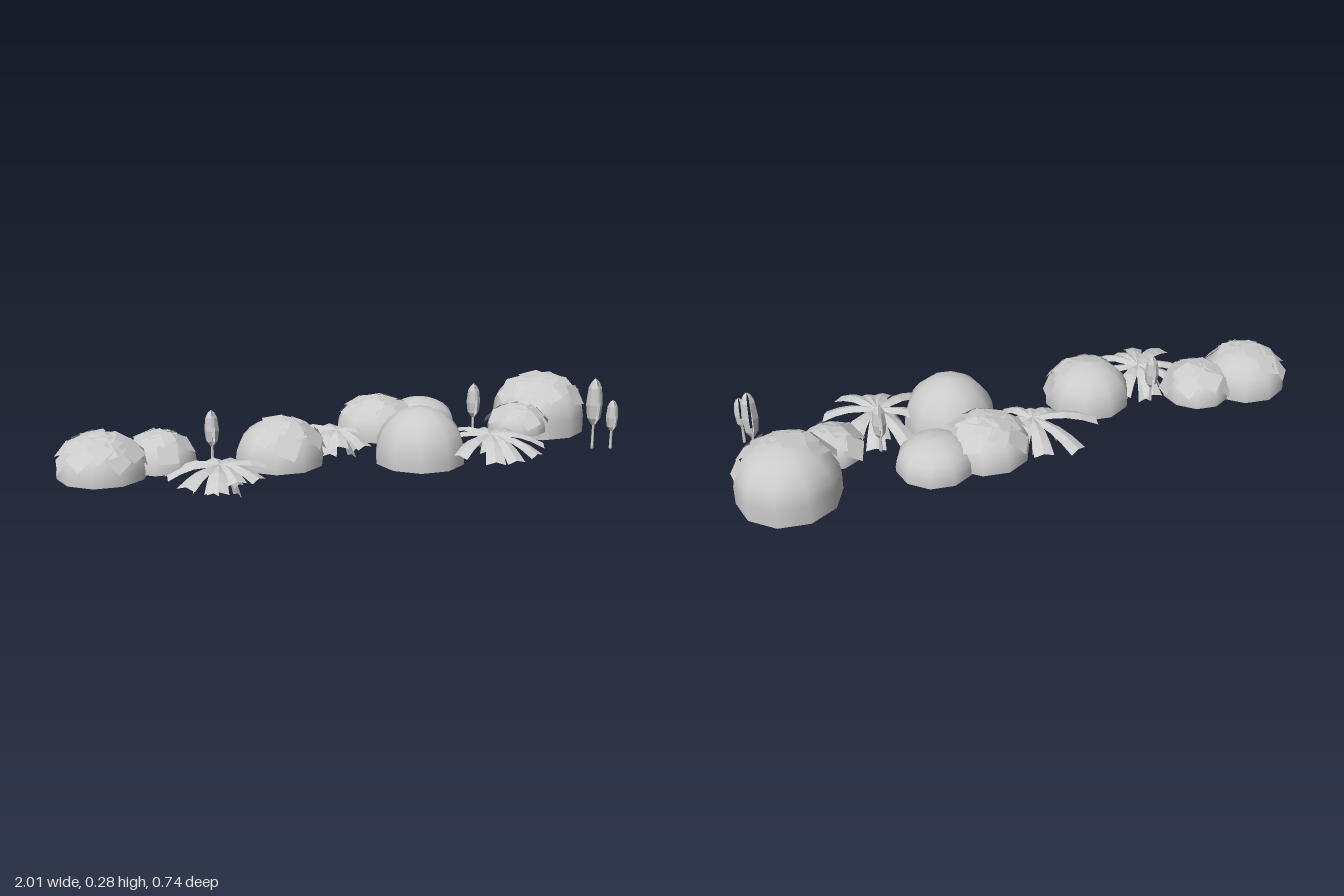
import * as THREE from 'three';

const flat = new THREE.MeshStandardMaterial({ color: 0xcccccc, flatShading: true, side: THREE.DoubleSide });
const smooth = new THREE.MeshStandardMaterial({ color: 0xcccccc, side: THREE.DoubleSide });

let seed = 7;
const rand = (a, b) => {
  seed = (seed * 16807) % 2147483647;
  return a + (b - a) * (seed / 2147483647);
};

function part(parent, name, geometry, material) {
  const mesh = new THREE.Mesh(geometry, material);
  mesh.name = name;
  parent.add(mesh);
  return mesh;
}

// Ten-sided open dome: short upright wall, then a quarter ellipse,
// with square leaves spread over the given arc (degrees, +x toward +z)
function bush({ x, z, r, base, wall, top, leaves = 0, arc = [0, 360], low = 20 }) {
  const g = new THREE.Group();
  g.name = 'bush';
  g.position.set(x, 0, z);
  const h = top - base - wall;
  const profile = [new THREE.Vector2(r, base)];
  for (let i = 0; i <= 6; i++) {
    const a = (i / 6) * Math.PI / 2;
    profile.push(new THREE.Vector2(Math.max(r * Math.cos(a), 0), base + wall + h * Math.sin(a)));
  }
  part(g, 'dome', new THREE.LatheGeometry(profile, 10, Math.PI / 2), smooth);
  for (let i = 0; i < leaves; i++) {
    const az = THREE.MathUtils.degToRad(arc[0] + (arc[1] - arc[0]) * ((i * 0.618) % 1));
    const el = THREE.MathUtils.degToRad(low + (82 - low) * (i + 0.5) / leaves);
    const dir = new THREE.Vector3(Math.cos(el) * Math.cos(az), Math.sin(el), Math.cos(el) * Math.sin(az));
    const normal = new THREE.Vector3(dir.x / r, dir.y / h, dir.z / r).normalize();
    const s = rand(0.06, 0.08);
    const leaf = part(g, 'bushLeaf', new THREE.PlaneGeometry(s, s), flat);
    leaf.position.set(dir.x * r, base + wall + dir.y * h, dir.z * r).addScaledVector(normal, 0.002);
    leaf.quaternion.setFromUnitVectors(new THREE.Vector3(0, 0, 1), normal);
    leaf.rotateZ(rand(0, 3));
    leaf.rotateX(rand(-0.12, 0.12));
  }
  return g;
}

// Arching strip that widens outward and droops at the tip
function blade(length, width, drop, rise) {
  const geo = new THREE.PlaneGeometry(1, 1, 4, 2);
  const p = geo.attributes.position;
  for (let i = 0; i < p.count; i++) {
    const t = p.getX(i) + 0.5, v = p.getY(i);
    p.setXYZ(i, t * length, rise * Math.sin(Math.PI * t) - drop * t * t - Math.abs(v) * 0.02,
      -v * width * (0.45 + 0.55 * t));
  }
  geo.computeVertexNormals();
  return geo;
}

function fern(x, y, z, bottom, tips) {
  const g = new THREE.Group();
  g.name = 'fern';
  g.position.set(x, y, z);
  tips.forEach(([deg, length]) => {
    const b = part(g, 'fernBlade', blade(length, 0.07, rand(0.02, 0.05), 0.012), flat);
    b.rotation.y = -THREE.MathUtils.degToRad(deg);
  });
  // Short drooping inner blades
  for (let i = 0; i < 5; i++) {
    const b = part(g, 'innerBlade', blade(rand(0.05, 0.09), 0.05, (y - bottom - 0.01) * (1 - 0.13 * i), 0.01), flat);
    b.rotation.y = i * 1.2566 + 0.4;
  }
  return g;
}

// Slim tree: two facing curved shells around a thin trunk
function tree(x, z, ground, low, top, r) {
  const g = new THREE.Group();
  g.name = 'slimTree';
  g.position.set(x, 0, z);
  const profile = [[0.25, 0], [0.8, 0.15], [1, 0.45], [0.8, 0.8], [0.45, 0.93], [0.05, 1]]
    .map(([a, t]) => new THREE.Vector2(a * r, low + (top - low) * t));
  for (const start of [0.3, 3.44]) {
    part(g, 'crownShell', new THREE.LatheGeometry(profile, 3, start, 2.7), flat);
  }
  const trunkH = low + 0.03 - ground;
  const trunk = part(g, 'trunk', new THREE.CylinderGeometry(0.004, 0.006, trunkH, 5), flat);
  trunk.position.y = ground + trunkH / 2;
  return g;
}

export function createModel() {
  const model = new THREE.Group();
  model.name = 'plantBorder';

  // Domed bushes from the right end to the left end
  [
    { x: -0.85, z: 0.042, r: 0.15, base: 0.08, wall: 0.02, top: 0.222, leaves: 18, arc: [20, 250] },
    { x: -0.655, z: 0.01, r: 0.12, base: 0.085, wall: 0.01, top: 0.198, leaves: 13 },
    { x: -0.262, z: 0.07, r: 0.152, base: 0.08, wall: 0.02, top: 0.23, leaves: 9, arc: [0, 150] },
    { x: 0.16, z: -0.175, r: 0.146, base: 0.08, wall: 0.02, top: 0.212, leaves: 15, low: 30 },
    { x: 0.343, z: -0.21, r: 0.133, base: 0.075, wall: 0.02, top: 0.19 },
    { x: 0.24, z: 0.078, r: 0.16, base: 0.042, wall: 0.03, top: 0.235 },
    { x: 0.67, z: -0.058, r: 0.108, base: 0.08, wall: 0.01, top: 0.172, leaves: 11 },
    { x: 0.826, z: -0.205, r: 0.174, base: 0.034, wall: 0.065, top: 0.248, leaves: 17, arc: [0, 200], low: 25 },
  ].forEach((b) => model.add(bush(b)));

  // Ferns: [direction in degrees, length] for each blade
  model.add(fern(-0.49, 0.125, 0.18, 0,
    [[0, 0.2], [50, 0.16], [78, 0.14], [103, 0.185], [135, 0.19], [185, 0.17], [220, 0.19], [265, 0.15], [310, 0.15]]));
  model.add(fern(-0.02, 0.13, -0.08, 0.015,
    [[0, 0.15], [60, 0.14], [100, 0.1], [140, 0.13], [180, 0.23], [236, 0.21], [270, 0.17], [305, 0.13]]));
  model.add(fern(0.49, 0.125, 0.11, 0.035,
    [[18, 0.19], [58, 0.2], [82, 0.18], [106, 0.18], [145, 0.2], [200, 0.18], [246, 0.2], [280, 0.18], [320, 0.19]]));

  // Slim trees
  model.add(tree(-0.48, 0.003, 0.08, 0.135, 0.26, 0.025));
  model.add(tree(0.507, -0.085, 0.08, 0.135, 0.26, 0.025));
  model.add(tree(0.922, 0.062, 0.02, 0.11, 0.284, 0.03));
  model.add(tree(0.953, 0.14, 0.04, 0.105, 0.22, 0.022));
  return model;
}
